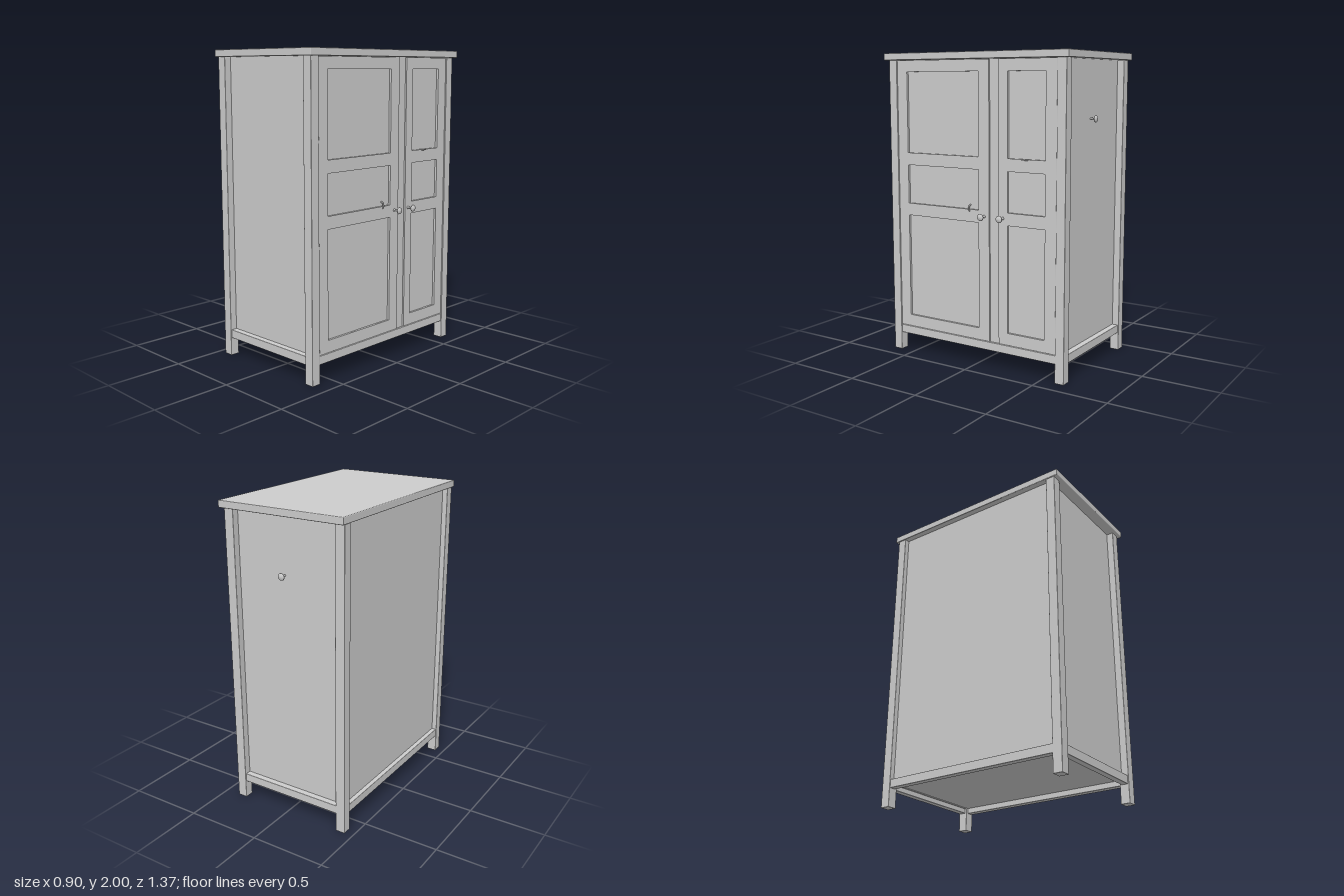
import * as THREE from 'three';
import { RoundedBoxGeometry } from 'three/addons/geometries/RoundedBoxGeometry.js';

export function createModel() {
  const model = new THREE.Group();
  model.name = 'wardrobe';
  const paint = new THREE.MeshStandardMaterial({ color: 0xcccccc });
  paint.name = 'grey paint';

  const add = (name, geometry, parent = model) => {
    const mesh = new THREE.Mesh(geometry, paint);
    mesh.name = name;
    parent.add(mesh);
    return mesh;
  };
  // Box given by its extents on each axis, with optional softened edges
  const box = (name, x0, x1, y0, y1, z0, z1, radius = 0) => {
    const size = [x1 - x0, y1 - y0, z1 - z0];
    const geometry = radius
      ? new RoundedBoxGeometry(...size, 2, radius)
      : new THREE.BoxGeometry(...size);
    add(name, geometry).position.set((x0 + x1) / 2, (y0 + y1) / 2, (z0 + z1) / 2);
  };

  // Overhanging top
  box('top', -0.45, 0.425, 1.955, 2, -0.685, 0.685, 0.005);

  // Corner legs
  for (const z of [-0.63, 0.63]) {
    for (const x of [-0.412, 0.368]) {
      box('leg', x - 0.0325, x + 0.0325, 0, 1.955, z - 0.031, z + 0.031, 0.003);
    }
  }

  // Recessed panels and lower rails on the two ends
  for (const s of [-1, 1]) {
    const span = (a, b) => [Math.min(s * a, s * b), Math.max(s * a, s * b)];
    box('endPanel', -0.4, 0.36, 0.15, 1.955, ...span(0.6, 0.615));
    box('endRail', -0.38, 0.336, 0.12, 0.175, ...span(0.61, 0.655), 0.003);
  }

  // Closed long side, floor and long rails
  box('backPanel', -0.41, -0.39, 0.15, 1.955, -0.61, 0.61);
  box('floor', -0.4, 0.37, 0.155, 0.172, -0.61, 0.61);
  box('backRail', -0.44, -0.395, 0.12, 0.175, -0.6, 0.6, 0.003);
  box('doorRail', 0.35, 0.396, 0.12, 0.175, -0.6, 0.6, 0.003);

  // Post between the doors
  box('centrePost', 0.35, 0.382, 0.175, 1.955, -0.2, -0.11);

  // Doors: a frame with three openings over a recessed panel
  const openings = [[0.255, 0.94], [1.02, 1.275], [1.355, 1.88]];
  const rectangle = (target, u0, u1, v0, v1) => {
    target.moveTo(u0, v0);
    target.lineTo(u1, v0);
    target.lineTo(u1, v1);
    target.lineTo(u0, v1);
    target.closePath();
    return target;
  };
  const door = (name, z0, z1, hole0, hole1) => {
    const shape = rectangle(new THREE.Shape(), -z1, -z0, 0.178, 1.953);
    for (const [y0, y1] of openings) {
      shape.holes.push(rectangle(new THREE.Path(), -hole1, -hole0, y0, y1));
    }
    const frame = new THREE.ExtrudeGeometry(shape, { depth: 0.025, bevelEnabled: false });
    frame.rotateY(Math.PI / 2);
    add(name + 'Frame', frame).position.x = 0.368;
    box(name + 'Panel', 0.36, 0.378, 0.18, 1.95, z0 + 0.01, z1 - 0.01);
  };
  door('wideDoor', -0.12, 0.598, -0.04, 0.52);
  door('narrowDoor', -0.598, -0.19, -0.52, -0.255);

  // Turned knobs, with the axis along +y before placing
  const profile = [
    [0, 0], [0.011, 0], [0.006, 0.012], [0.006, 0.036], [0.018, 0.04],
    [0.023, 0.045], [0.021, 0.05], [0.012, 0.055], [0, 0.057],
  ].map(([r, h]) => new THREE.Vector2(r, h));
  const knobGeometry = new THREE.LatheGeometry(profile, 20);
  for (const z of [-0.082, -0.22]) {
    const knob = add('doorKnob', knobGeometry);
    knob.position.set(0.39, 0.983, z);
    knob.rotation.z = -Math.PI / 2;
  }
  const endKnob = add('endKnob', knobGeometry);
  endKnob.position.set(0, 1.59, -0.605);
  endKnob.rotation.x = -Math.PI / 2;

  // Small pulls set into the door panels
  const sidePull = add('smallPull', new THREE.TorusGeometry(0.022, 0.005, 8, 16, Math.PI));
  sidePull.position.set(0.377, 1.025, 0.03);
  sidePull.rotation.z = -Math.PI / 2;
  const upperPull = add('upperPull', new THREE.TorusGeometry(0.03, 0.004, 8, 16, Math.PI));
  upperPull.position.set(0.376, 1.353, -0.378);
  upperPull.rotation.set(Math.PI / 2, 0, -Math.PI / 2);
  upperPull.scale.y = 0.8;

  return model;
}
